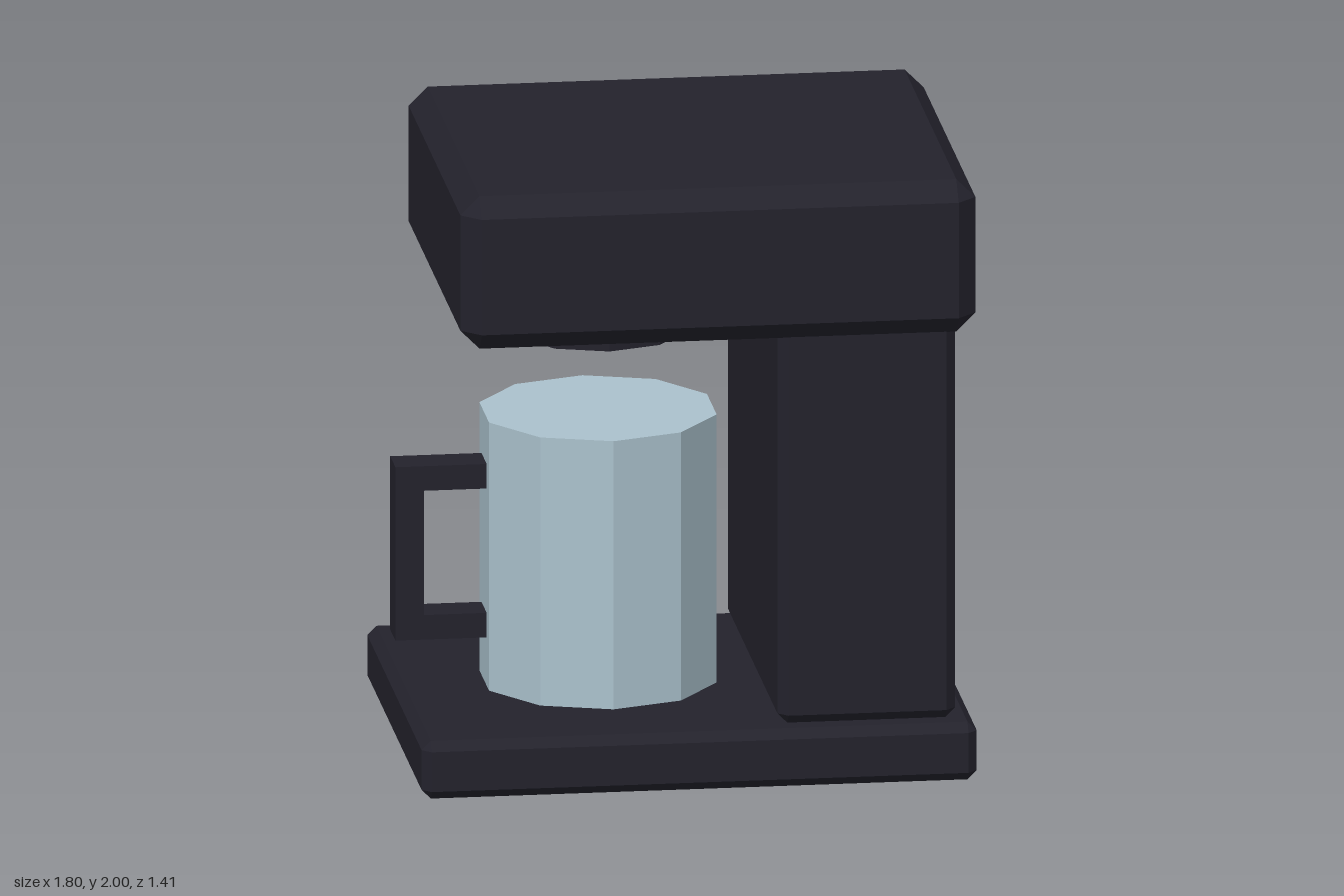
import * as THREE from 'three';
import { ConvexGeometry } from 'three/addons/geometries/ConvexGeometry.js';

const darkPlastic = new THREE.MeshStandardMaterial({ color: 0x23222c });
darkPlastic.name = 'dark plastic';
const paleGlass = new THREE.MeshStandardMaterial({ color: 0xabc2cd });
paleGlass.name = 'pale blue';

function add(parent, name, geometry, material, x, y, z = 0) {
  const mesh = new THREE.Mesh(geometry, material);
  mesh.name = name;
  mesh.position.set(x, y, z);
  parent.add(mesh);
  return mesh;
}

// Box with every edge cut by a flat bevel
function bevelledBox(w, h, d, bevel) {
  const points = [];
  for (const sx of [-1, 1]) for (const sy of [-1, 1]) for (const sz of [-1, 1]) {
    for (let axis = 0; axis < 3; axis++) {
      const inset = [0, 1, 2].map((i) => (i === axis ? 0 : bevel));
      points.push(new THREE.Vector3(
        sx * (w / 2 - inset[0]), sy * (h / 2 - inset[1]), sz * (d / 2 - inset[2])));
    }
  }
  return new ConvexGeometry(points);
}

// Ten-sided prism with hard edges
function decagon(radius, height) {
  const g = new THREE.CylinderGeometry(radius, radius, height, 10).toNonIndexed();
  g.computeVertexNormals();
  return g;
}

// Bevelled box given by its extents in x and y and its depth
function block(parent, name, x0, x1, y0, y1, depth, bevel) {
  add(parent, name, bevelledBox(x1 - x0, y1 - y0, depth, bevel), darkPlastic,
    (x0 + x1) / 2, (y0 + y1) / 2);
}

export function createModel() {
  const model = new THREE.Group();
  model.name = 'coffeeMachine';

  // Machine body
  block(model, 'base', -0.9, 0.9, 0, 0.193, 1.412, 0.03);
  block(model, 'column', 0.262, 0.838, 0.193, 1.53, 1.29, 0.032);
  block(model, 'head', -0.77, 0.9, 1.49, 2, 1.412, 0.062);
  add(model, 'spout', decagon(0.289, 0.16), darkPlastic, -0.24, 1.442);

  // Cup standing on the base
  const cup = new THREE.Group();
  cup.name = 'cup';
  model.add(cup);
  add(cup, 'cupBody', decagon(0.388, 0.897), paleGlass, -0.24, 0.6415);

  // Square C-shaped handle
  const outline = new THREE.Shape([
    [-0.6, 0.355], [-0.6, 0.437], [-0.812, 0.437], [-0.812, 0.853],
    [-0.6, 0.853], [-0.6, 0.935], [-0.905, 0.935], [-0.905, 0.355],
  ].map(([x, y]) => new THREE.Vector2(x, y)));
  const handle = new THREE.ExtrudeGeometry(outline, { depth: 0.13, bevelEnabled: false });
  add(cup, 'cupHandle', handle, darkPlastic, 0, 0, -0.067);

  return model;
}
